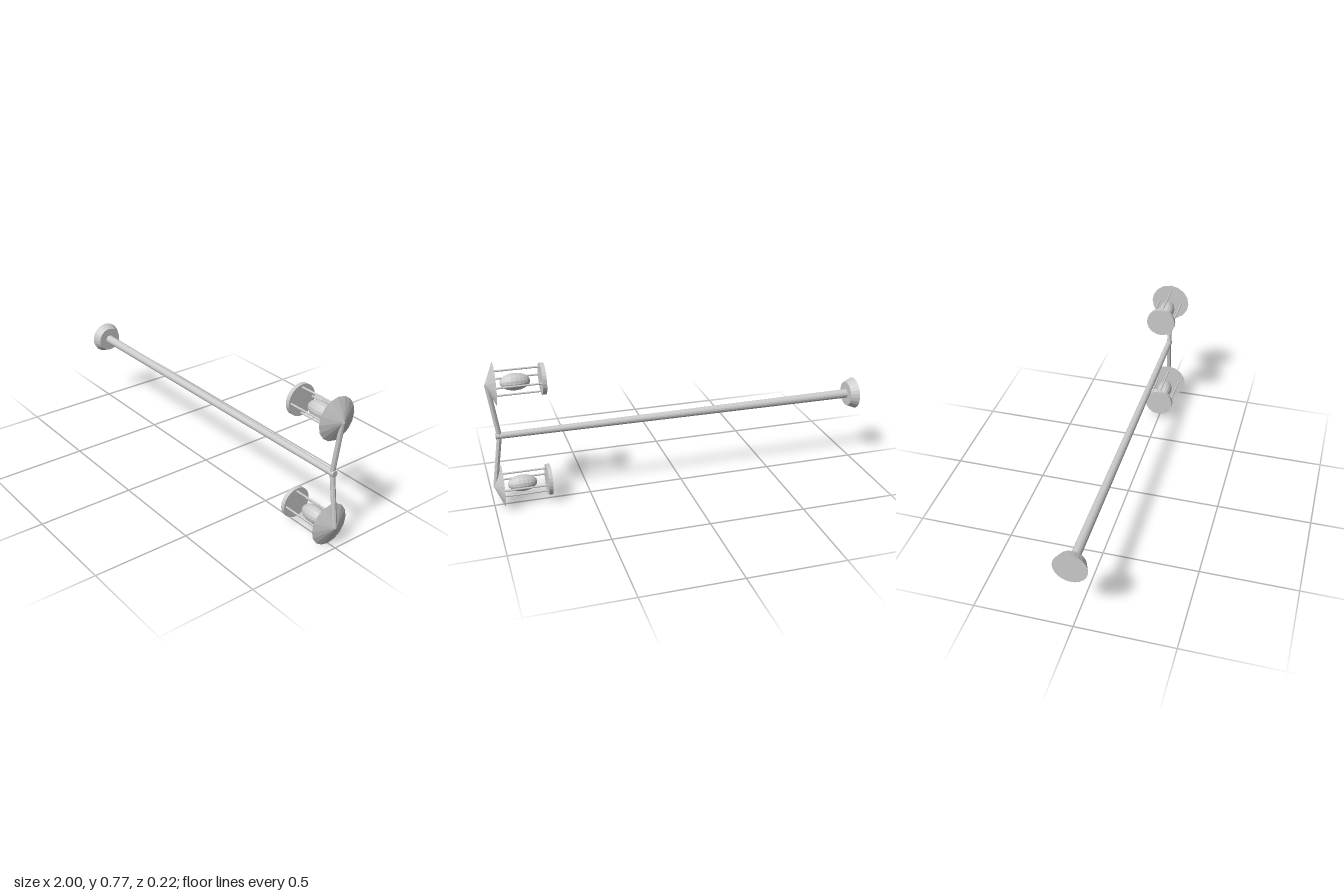
import * as THREE from 'three';

// Twin-lantern street lamp, modelled upright and then laid along x.
export function createModel() {
  const grey = new THREE.MeshStandardMaterial({ color: 0xcccccc, flatShading: true });
  grey.name = 'grey';

  const add = (parent, name, geometry, x, y, z) => {
    const mesh = new THREE.Mesh(geometry, grey);
    mesh.name = name;
    mesh.position.set(x, y, z);
    parent.add(mesh);
    return mesh;
  };
  // Cylinder standing between two heights
  const post = (parent, name, rTop, rBottom, y0, y1, sides, x = 0, z = 0) =>
    add(parent, name, new THREE.CylinderGeometry(rTop, rBottom, y1 - y0, sides), x, (y0 + y1) / 2, z);

  const lamp = new THREE.Group();
  lamp.name = 'streetLamp';

  // Foot and tapering pole
  post(lamp, 'base', 0.066, 0.085, -1, -0.955, 24);
  post(lamp, 'pole', 0.016, 0.024, -0.955, 0.965, 16);

  for (const side of [-1, 1]) {
    // Arm rising from the pole to the lantern roof
    const start = new THREE.Vector3(0, 0.947, 0);
    const end = new THREE.Vector3(side * 0.279, 0.987, 0);
    const dir = end.clone().sub(start);
    const mid = start.clone().add(end).multiplyScalar(0.5);
    const arm = add(lamp, 'arm', new THREE.CylinderGeometry(0.0125, 0.0125, dir.length(), 8), mid.x, mid.y, 0);
    arm.quaternion.setFromUnitVectors(new THREE.Vector3(0, 1, 0), dir.normalize());

    // Lantern: floor disc, four rods, bulb and conical roof
    const lantern = new THREE.Group();
    lantern.name = 'lantern';
    lantern.position.x = side * 0.279;
    post(lantern, 'lanternFloor', 0.08, 0.08, 0.704, 0.725, 24);
    for (let i = 0; i < 4; i++) {
      const a = (i * Math.PI) / 2;
      post(lantern, 'rod', 0.005, 0.005, 0.72, 0.952, 8, 0.065 * Math.cos(a), 0.065 * Math.sin(a));
    }
    const bulb = add(lantern, 'bulb', new THREE.SphereGeometry(1, 16, 10), 0, 0.85, 0);
    bulb.scale.set(0.043, 0.075, 0.043);
    add(lantern, 'roof', new THREE.ConeGeometry(0.108, 0.047, 16), 0, 0.9735, 0);
    lamp.add(lantern);
  }

  // Lay the lamp on its side, top towards +x
  lamp.rotation.z = -Math.PI / 2;
  lamp.position.y = 0.388;
  const model = new THREE.Group();
  model.name = 'model';
  model.add(lamp);
  return model;
}
